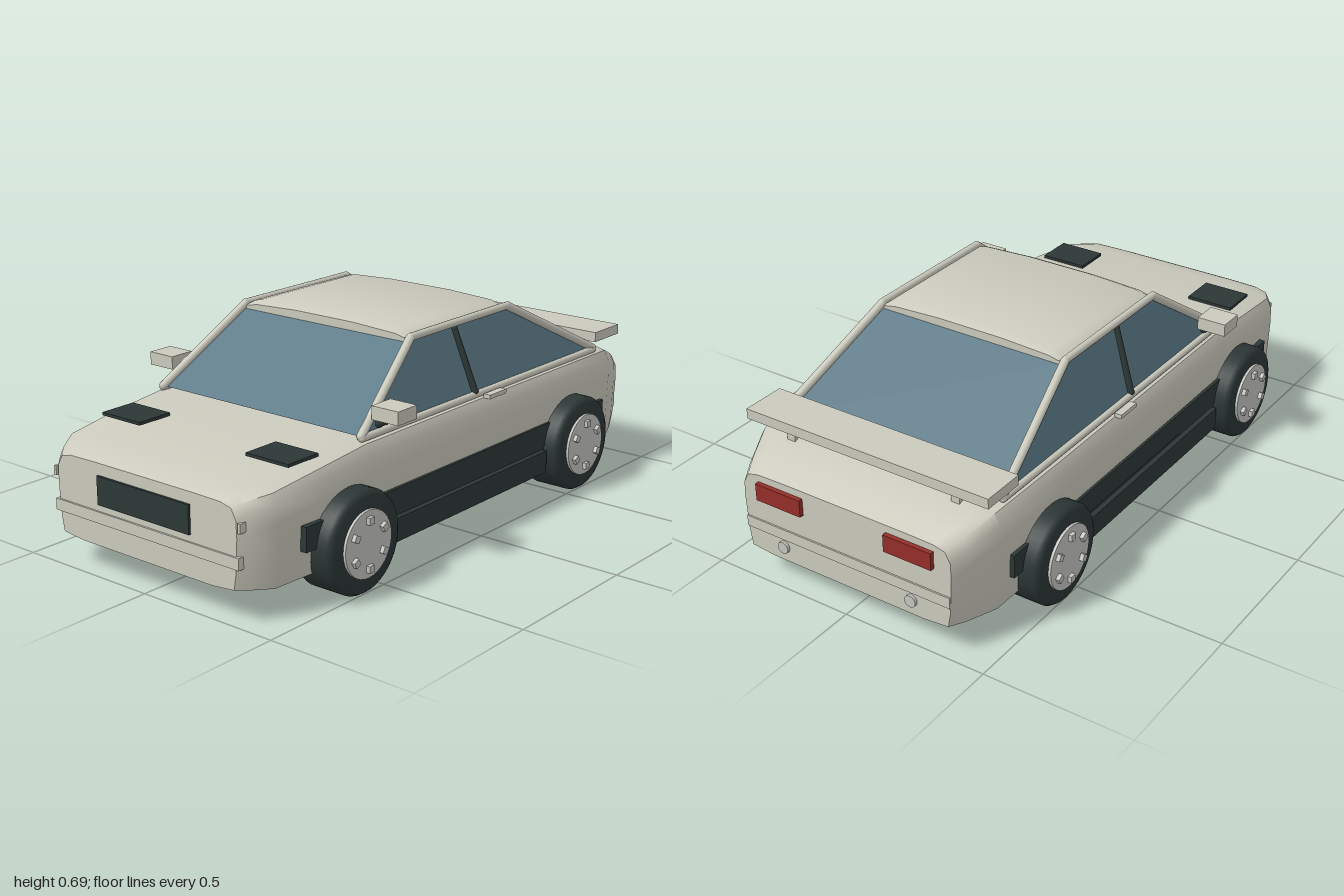
import * as THREE from 'three';
import { toCreasedNormals } from 'three/addons/utils/BufferGeometryUtils.js';

const material = (name, color, side = THREE.FrontSide) => {
  const m = new THREE.MeshStandardMaterial({ color, side });
  m.name = name;
  return m;
};

// Skins a list of closed rings (counter-clockwise from the front, ordered front to back)
function loft(rings, crease) {
  const n = rings[0].length, index = [];
  for (let i = 0; i < rings.length - 1; i++) {
    for (let j = 0; j < n; j++) {
      const a = i * n + j, b = i * n + (j + 1) % n;
      index.push(a, a + n, b, b, a + n, b + n);
    }
  }
  const last = (rings.length - 1) * n;
  for (let j = 1; j < n - 1; j++) {
    index.push(0, j, j + 1);
    index.push(last, last + j + 1, last + j);
  }
  const g = new THREE.BufferGeometry();
  g.setAttribute('position', new THREE.Float32BufferAttribute(rings.flat(2), 3));
  g.setIndex(index);
  return toCreasedNormals(g, crease);
}

// Mirrors a right-hand half section into a closed ring at depth z
function ring(half, z) {
  const right = half.map(([x, y]) => [x, y, z]);
  const left = half.map(([x, y]) => [-x, y, z]).reverse();
  return [...right, ...left];
}

function quad(a, b, c, d) {
  const g = new THREE.BufferGeometry();
  g.setAttribute('position', new THREE.Float32BufferAttribute([...a, ...b, ...c, ...d], 3));
  g.setIndex([0, 1, 2, 0, 2, 3]);
  g.computeVertexNormals();
  return g;
}

export function createModel() {
  const car = new THREE.Group();
  car.name = 'car';
  const paint = material('body paint', 0xcbcabd);
  const glass = material('window glass', 0x5c7a87, THREE.DoubleSide);
  const dark = material('dark trim', 0x2c3736);
  const metal = material('wheel metal', 0xc4c4c0);
  const red = material('tail light red', 0x962f29);

  const add = (name, geometry, mat, parent = car) => {
    const mesh = new THREE.Mesh(geometry, mat);
    mesh.name = name;
    parent.add(mesh);
    return mesh;
  };
  // Box given by its extents on each axis
  const box = (name, x0, x1, y0, y1, z0, z1, mat) => {
    const mesh = add(name, new THREE.BoxGeometry(Math.abs(x1 - x0), y1 - y0, Math.abs(z1 - z0)), mat);
    mesh.position.set((x0 + x1) / 2, (y0 + y1) / 2, (z0 + z1) / 2);
    return mesh;
  };
  const rod = (name, from, to, radius, mat) => {
    const path = new THREE.LineCurve3(new THREE.Vector3(...from), new THREE.Vector3(...to));
    add(name, new THREE.TubeGeometry(path, 1, radius, 10), mat);
    for (const end of [from, to]) {
      add(name + ' end', new THREE.SphereGeometry(radius, 10, 8), mat).position.set(...end);
    }
  };

  // Body shell: [z, half width, bottom, top]
  const stations = [
    [0.99, 0.37, 0.1, 0.365], [0.96, 0.395, 0.097, 0.38], [0.89, 0.435, 0.09, 0.396],
    [0.7, 0.447, 0.09, 0.42], [0.5, 0.45, 0.09, 0.44], [0, 0.453, 0.09, 0.443],
    [-0.5, 0.453, 0.09, 0.443], [-0.83, 0.447, 0.09, 0.44], [-0.93, 0.41, 0.092, 0.4],
    [-0.985, 0.385, 0.097, 0.375],
  ];
  const shell = stations.map(([z, w, b, t]) => ring([
    [w - 0.1, b], [w - 0.015, b + 0.008], [w - 0.006, b + 0.06], [w, t - 0.1],
    [w - 0.002, t - 0.045], [w - 0.02, t - 0.012], [w - 0.06, t - 0.002], [w - 0.16, t],
  ], z));
  add('body shell', loft(shell, 0.75), paint);
  box('underbody', -0.305, 0.305, 0.07, 0.1, -0.83, 0.85, dark);

  // Roof panel with rounded sides
  const roofSection = (drop) => [
    [0.335, 0.652], [0.335, 0.668], [0.32, 0.68 - drop], [0.29, 0.687 - drop], [0.12, 0.695 - drop],
  ];
  add('roof', loft([
    ring(roofSection(0.012), 0.185), ring(roofSection(0), 0.16),
    ring(roofSection(0), -0.32), ring(roofSection(0.012), -0.345),
  ], 0.7), paint);

  // Front and rear glass
  add('windscreen', quad([-0.41, 0.445, 0.495], [0.41, 0.445, 0.495],
    [0.337, 0.658, 0.18], [-0.337, 0.658, 0.18]), glass);
  add('rear window', quad([0.41, 0.445, -0.755], [-0.41, 0.445, -0.755],
    [-0.337, 0.658, -0.34], [0.337, 0.658, -0.34]), glass);

  // Grille and bumper strips
  box('grille', -0.19, 0.19, 0.235, 0.327, 0.985, 0.998, dark);
  box('front bumper strip', -0.38, 0.38, 0.175, 0.212, 0.975, 0.996, paint);
  box('rear bumper strip', -0.38, 0.38, 0.175, 0.212, -0.99, -0.97, paint);

  // Rear wing
  box('rear wing', -0.445, 0.445, 0.48, 0.514, -0.885, -0.735, paint);

  // Parts that repeat on both sides
  for (const s of [1, -1]) {
    add('side window', quad([s * 0.415, 0.44, 0.495], [s * 0.415, 0.44, -0.76],
      [s * 0.34, 0.665, -0.34], [s * 0.34, 0.665, 0.18]), glass);
    rod('front pillar', [s * 0.412, 0.448, 0.5], [s * 0.345, 0.67, 0.18], 0.014, paint);
    rod('rear pillar', [s * 0.412, 0.448, -0.77], [s * 0.345, 0.67, -0.34], 0.014, paint);
    rod('roof rail', [s * 0.345, 0.672, 0.18], [s * 0.345, 0.672, -0.34], 0.013, paint);
    rod('belt rail', [s * 0.415, 0.443, 0.5], [s * 0.415, 0.443, -0.77], 0.012, paint);
    rod('door pillar', [s * 0.345, 0.655, -0.045], [s * 0.417, 0.455, -0.065], 0.011, dark);

    box('hood vent', s * 0.22, s * 0.385, 0.424, 0.434, 0.66, 0.79, dark);
    box('side marker', s * 0.376, s * 0.386, 0.285, 0.315, 0.965, 0.993, paint);
    box('tail light', s * 0.155, s * 0.325, 0.292, 0.35, -1, -0.975, red);
    box('wing support', s * 0.29, s * 0.32, 0.43, 0.485, -0.85, -0.77, paint);
    box('door handle', s * 0.43, s * 0.455, 0.428, 0.442, -0.185, -0.095, paint);

    box('side band', s * 0.42, s * 0.459, 0.187, 0.265, -0.78, 0.8, dark);
    box('side skirt', s * 0.42, s * 0.475, 0.102, 0.178, -0.405, 0.42, dark);
    box('sill', s * 0.42, s * 0.457, 0.17, 0.2, -0.42, 0.43, dark);

    // Mirror on its stalk
    box('mirror', s * 0.415, s * 0.515, 0.49, 0.533, 0.365, 0.455, paint);
    rod('mirror stalk', [s * 0.41, 0.465, 0.415], [s * 0.455, 0.492, 0.415], 0.012, dark);

    // Exhaust tip
    const exhaust = add('exhaust tip', new THREE.CylinderGeometry(0.02, 0.02, 0.03, 16), metal);
    exhaust.rotation.x = Math.PI / 2;
    exhaust.position.set(s * 0.24, 0.147, -0.98);

    // Wheels, built facing +x and turned round for the other side
    for (const z of [0.595, -0.575]) {
      const wheel = new THREE.Group();
      wheel.name = z > 0 ? 'front wheel' : 'rear wheel';
      wheel.position.set(s * 0.438, 0.166, z);
      if (s < 0) wheel.rotation.y = Math.PI;
      car.add(wheel);
      const profile = [[0, -0.073], [0.15, -0.073], [0.163, -0.06], [0.163, 0.055],
        [0.155, 0.068], [0.145, 0.073], [0, 0.073]].map((p) => new THREE.Vector2(...p));
      const tyre = add('tyre', toCreasedNormals(new THREE.LatheGeometry(profile, 40), 0.6), dark, wheel);
      tyre.rotation.z = -Math.PI / 2;
      const rim = add('rim', new THREE.CylinderGeometry(0.106, 0.106, 0.02, 32), metal, wheel);
      rim.rotation.z = -Math.PI / 2;
      rim.position.x = 0.072;
      for (let i = 0; i < 6; i++) {
        const a = i * Math.PI / 3;
        const lug = add('lug', new THREE.BoxGeometry(0.016, 0.022, 0.022), metal, wheel);
        lug.position.set(0.087, 0.075 * Math.cos(a), 0.075 * Math.sin(a));
        lug.rotation.x = a;
      }
    }
  }
  return car;
}
